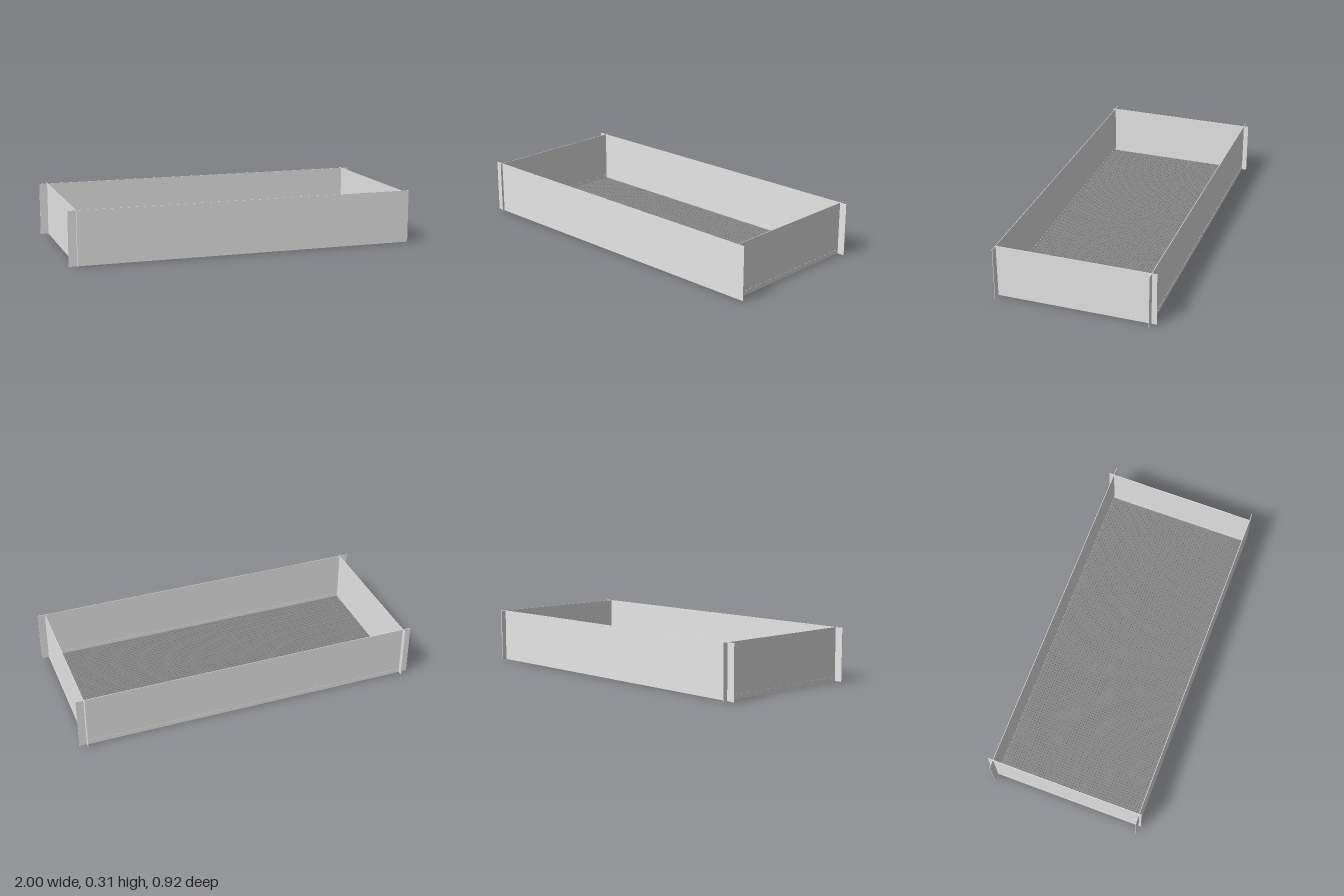
import * as THREE from 'three';
import { mergeGeometries } from 'three/addons/utils/BufferGeometryUtils.js';

const H = 0.305;          // wall height
const T = 0.003;          // sheet thickness
const X0 = -0.952, X1 = 0.956;   // end wall planes
const Z0 = -0.428, Z1 = 0.443;   // long wall planes
const LIP = 0.025;        // height of the strip along the bottom

// box spanning two opposite corners
function span(x0, x1, y0, y1, z0, z1) {
  return new THREE.BoxGeometry(x1 - x0, y1 - y0, z1 - z0)
    .translate((x0 + x1) / 2, (y0 + y1) / 2, (z0 + z1) / 2);
}

function paint(name, color) {
  const material = new THREE.MeshStandardMaterial({ color });
  material.name = name;
  return material;
}

export function createModel() {
  const group = new THREE.Group();
  const steel = paint('light grey steel', 0xe6e6e6);
  const grating = paint('dark grey grating', 0x888888);
  const add = (name, geometry, material) => {
    const mesh = new THREE.Mesh(geometry, material);
    mesh.name = name;
    group.add(mesh);
  };
  const h = T / 2;

  // long walls run past the end walls; the end walls run past them
  // at every corner but the front left one
  add('frontWall', span(-1, 1, 0, H, Z1 - h, Z1 + h), steel);
  add('backWall', span(-1, 1, 0, H, Z0 - h, Z0 + h), steel);
  add('rightWall', span(X0 - h, X0 + h, 0, H, -0.458, 0.458), steel);
  add('leftWall', span(X1 - h, X1 + h, 0, H, -0.458, Z1 - h), steel);

  // strips along the bottom: inside the front wall, on both faces of the others
  const xa = X0 + h, xb = X1 - h, za = Z0 + h, zb = Z1 - h, s = h + 0.001;
  add('frontStrip', span(xa, xb, 0, LIP, zb - 0.001, zb), steel);
  add('backStrip', span(xa, xb, 0, LIP, Z0 - s, Z0 + s), steel);
  add('rightStrip', span(X0 - s, X0 + s, 0, LIP, za, zb), steel);
  add('leftStrip', span(X1 - s, X1 + s, 0, LIP, za, zb), steel);

  // fine floor grating of crossing bars with small square holes
  const pitch = 0.016, bar = 0.011;
  const bars = (a, b, make) => {
    const n = Math.round((b - a) / pitch);
    return Array.from({ length: n }, (_, i) => make(a + ((i + 0.5) * (b - a)) / n));
  };
  add('floorCrossBars', mergeGeometries(
    bars(xa, xb, (x) => span(x - bar / 2, x + bar / 2, 0, 0.006, za, zb))), grating);
  add('floorLongBars', mergeGeometries(
    bars(za, zb, (z) => span(xa, xb, 0.001, 0.007, z - bar / 2, z + bar / 2))), grating);

  return group;
}
